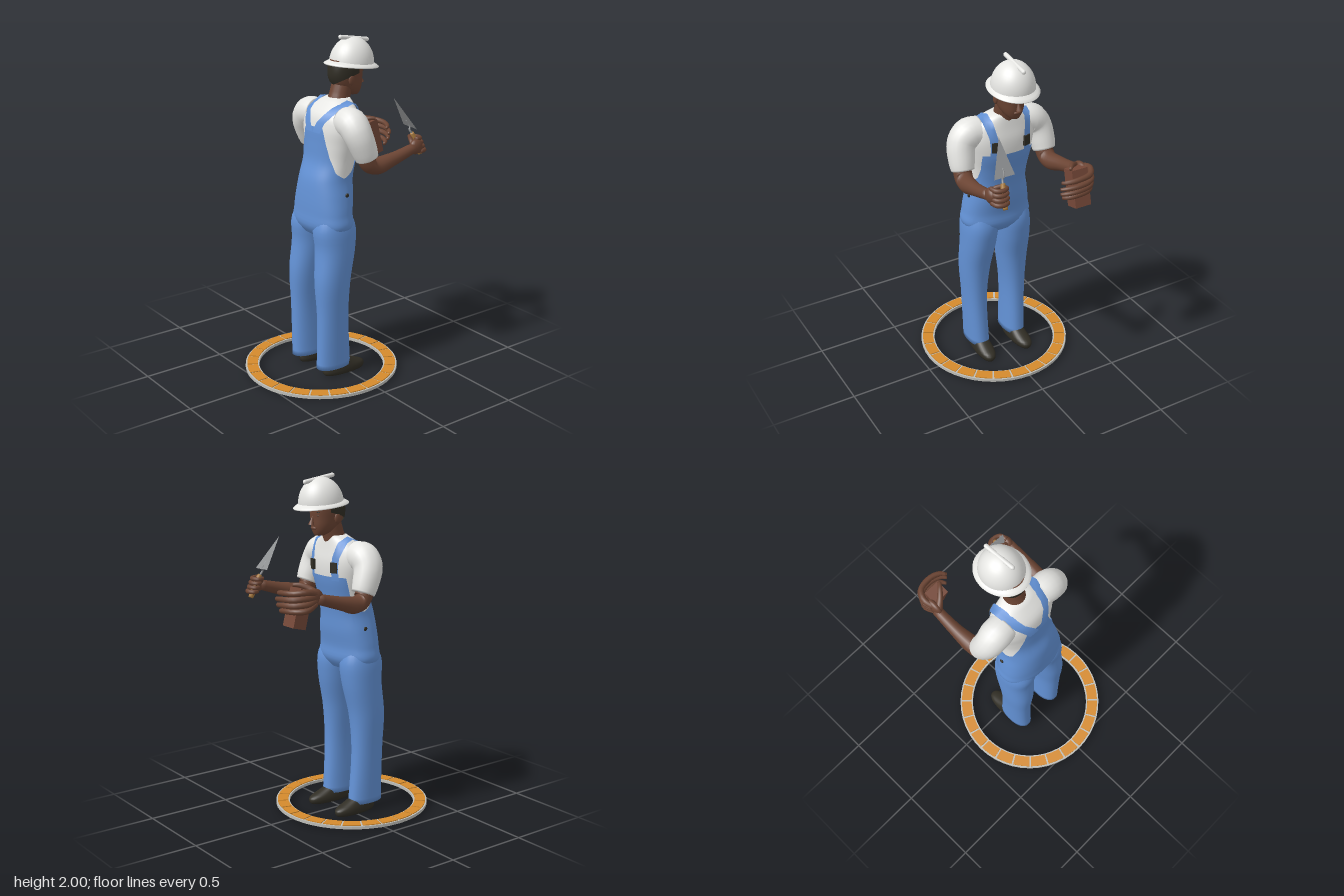
import * as THREE from 'three';

const mat = (name, color, side = THREE.FrontSide) => {
  const m = new THREE.MeshStandardMaterial({ color, side });
  m.name = name;
  return m;
};
const V = (x, y, z) => new THREE.Vector3(x, y, z);

// Skin a stack of point rings; wrap closes each ring, cap closes the ends
function loft(rings, wrap = true, cap = true) {
  const n = rings[0].length, pos = [], idx = [];
  rings.forEach(r => r.forEach(p => pos.push(p.x, p.y, p.z)));
  for (let i = 0; i < rings.length - 1; i++) {
    for (let j = 0; j < (wrap ? n : n - 1); j++) {
      const a = i * n + j, b = i * n + (j + 1) % n, c = a + n, d = b + n;
      idx.push(a, c, b, b, c, d);
    }
  }
  if (wrap && cap) {
    [0, rings.length - 1].forEach((ri, end) => {
      const c = V(0, 0, 0);
      rings[ri].forEach(p => c.addScaledVector(p, 1 / n));
      const k = pos.length / 3;
      pos.push(c.x, c.y, c.z);
      for (let j = 0; j < n; j++) {
        const a = ri * n + j, b = ri * n + (j + 1) % n;
        if (end) idx.push(k, b, a); else idx.push(k, a, b);
      }
    });
  }
  const g = new THREE.BufferGeometry();
  g.setAttribute('position', new THREE.Float32BufferAttribute(pos, 3));
  g.setIndex(idx);
  g.computeVertexNormals();
  return g;
}

// Rows of [y, centreX, halfX, halfZ, centreZ] become a smooth body of rounded sections
function body(rows) {
  const f = new THREE.CubicInterpolant(rows.map(r => r[0]),
    rows.flatMap(r => [r[1], r[2], r[3], r[4] || 0]), 4, new Float32Array(4));
  const at = y => Array.from(f.evaluate(y));
  const point = (y, a, grow = 0) => {
    const [cx, hx, hz, cz] = at(y), c = Math.cos(a), s = Math.sin(a);
    return V(cx + (hx + grow) * Math.sign(c) * Math.abs(c) ** 0.88, y,
      cz + (hz + grow) * Math.sign(s) * Math.abs(s) ** 0.88);
  };
  const geometry = (n = 36, steps = 30, y0 = rows[0][0], y1 = rows.at(-1)[0]) => loft(
    Array.from({ length: steps + 1 }, (_, i) => Array.from({ length: n },
      (_, j) => point(y0 + (y1 - y0) * i / steps, j / n * Math.PI * 2))));
  return { at, point, geometry };
}

// Tapered tube along a path
function limb(points, radii, n = 14, steps = 18) {
  const curve = new THREE.CatmullRomCurve3(points.map(p => V(...p)));
  const { normals, binormals } = curve.computeFrenetFrames(steps);
  return loft(Array.from({ length: steps + 1 }, (_, i) => {
    const t = i / steps, p = curve.getPoint(t), u = t * (radii.length - 1);
    const k = Math.min(Math.floor(u), radii.length - 2);
    const r = THREE.MathUtils.lerp(radii[k], radii[k + 1], u - k);
    normals[i] = curve.getTangent(t).cross(binormals[i]).negate().normalize();
    return Array.from({ length: n }, (_, j) => {
      const a = j / n * Math.PI * 2;
      return p.clone().addScaledVector(normals[i], r * Math.cos(a)).addScaledVector(binormals[i], -r * Math.sin(a));
    });
  }));
}

function lerpKeys(keys, x) {
  let i = 1;
  while (i < keys.length - 1 && keys[i][0] < x) i++;
  const [x0, y0] = keys[i - 1], [x1, y1] = keys[i];
  return y0 + (y1 - y0) * (x - x0) / (x1 - x0);
}

export function createModel() {
  const root = new THREE.Group();
  const DS = THREE.DoubleSide;
  const white = mat('white cloth and helmet', 0xe6e6e3, DS), blue = mat('denim blue', 0x6392d6, DS);
  const skin = mat('skin', 0x6b4433), dark = mat('shoe and hair dark', 0x302d24, DS);
  const orange = mat('paving orange', 0xd48a2c), mortar = mat('mortar grey', 0xbdbdb8);
  const clay = mat('brick clay', 0x754838), steel = mat('trowel steel', 0x909294, DS);
  const wood = mat('handle wood', 0xa87a3e);
  const add = (name, geo, m, parent = root) => {
    const mesh = new THREE.Mesh(geo, m);
    mesh.name = name;
    parent.add(mesh);
    return mesh;
  };
  const ball = (name, m, p, s, parent) => {
    const b = add(name, new THREE.SphereGeometry(1, 20, 14), m, parent);
    b.position.set(...p);
    b.scale.set(...s);
    return b;
  };

  // Paved ring: mortar bed with 24 curved bricks
  const sector = (r0, r1, a0, a1, depth) => {
    const s = new THREE.Shape();
    s.absarc(0, 0, r1, a0, a1, false);
    s.absarc(0, 0, r0, a1, a0, true);
    return new THREE.ExtrudeGeometry(s, { depth, bevelEnabled: false, curveSegments: 4 }).rotateX(-Math.PI / 2);
  };
  const ring = new THREE.Group();
  ring.name = 'pavedRing';
  ring.position.set(-0.088, 0.012, 0);
  root.add(ring);
  const bed = [[0.375, 0], [0.457, 0], [0.457, 0.017], [0.375, 0.017], [0.375, 0]];
  add('mortarBed', new THREE.LatheGeometry(bed.map(p => new THREE.Vector2(...p)), 48).toNonIndexed(), mortar, ring)
    .geometry.computeVertexNormals();
  for (let i = 0; i < 24; i++) {
    const a = i * Math.PI / 12;
    add('pavingBrick', sector(0.383, 0.447, a + 0.013, a + Math.PI / 12 - 0.013, 0.022), orange, ring);
  }

  // Torso: shirt with the overalls as an outer shell
  const torso = body([[0.87, -0.07, 0.09, 0.15], [0.92, -0.07, 0.125, 0.204], [1.0, -0.07, 0.126, 0.2],
    [1.1, -0.06, 0.131, 0.184], [1.2, -0.05, 0.127, 0.165], [1.3, -0.025, 0.119, 0.168], [1.4, -0.01, 0.126, 0.185],
    [1.5, -0.005, 0.125, 0.2], [1.57, 0, 0.108, 0.182], [1.62, 0.02, 0.08, 0.125], [1.65, 0.035, 0.06, 0.072]]);
  add('shirt', torso.geometry(48, 30, 1.1), white);
  const edge = [[0, 1.42], [0.95, 1.42], [1.02, 1.33], [1.2, 1.25], [1.55, 1.215], [2.0, 1.25], [2.4, 1.33],
    [2.65, 1.42], [2.8, 1.5], [3.15, 1.5]];
  add('overallsBody', loft(Array.from({ length: 29 }, (_, i) => Array.from({ length: 96 }, (_, j) => {
    const a = j / 96 * Math.PI * 2, top = lerpKeys(edge, Math.min(a, Math.PI * 2 - a));
    return torso.point(0.87 + (top - 0.87) * i / 28, a, 0.006);
  })), true, false), blue);

  // Straps hug the torso: [y, front or back, inner z, outer z]
  const strapRows = [[1.4, 1, 0.08, 0.125], [1.47, 1, 0.08, 0.125], [1.53, 1, 0.085, 0.13], [1.58, 1, 0.095, 0.142],
    [1.615, 1, 0.1, 0.15], [1.645, 0, 0.1, 0.152], [1.61, -1, 0.085, 0.14], [1.58, -1, 0.07, 0.125],
    [1.53, -1, 0.03, 0.09], [1.47, -1, 0, 0.065]];
  for (const side of [1, -1]) {
    add('shoulderStrap', loft(strapRows.map(([y, s, zi, zo]) => [0, 0.5, 1].map(t => {
      const z = zi + (zo - zi) * t, [cx, hx, hz] = torso.at(Math.min(y, 1.63));
      const x = cx + s * (0.012 + hx * Math.max(0.12, 1 - (z / hz) ** 2.27) ** 0.44);
      return V(x, y - 0.012 * t * (1 - Math.abs(s)), z * side);
    })), false), blue);
    const buckle = add('strapBuckle', new THREE.BoxGeometry(0.014, 0.06, 0.042), dark);
    buckle.position.set(0.118, 1.475, 0.1 * side);
    buckle.rotation.y = -0.3 * side;
    ball('sideButton', dark, [-0.04, 1.12, 0.189 * side], [0.012, 0.012, 0.006]);

    // Trouser legs and shoes
    const leg = body([[0.055, -0.09, 0.112, 0.064, 0.125], [0.12, -0.092, 0.108, 0.064, 0.127],
      [0.4, -0.1, 0.1, 0.069, 0.132], [0.6, -0.098, 0.11, 0.086, 0.127], [0.8, -0.07, 0.121, 0.1, 0.114],
      [0.92, -0.07, 0.128, 0.103, 0.106], [1.0, -0.07, 0.1, 0.09, 0.1]].map(r => [...r.slice(0, 4), r[4] * side]));
    add('trouserLeg', leg.geometry(30, 30), blue);
    const shoe = body([[0, -0.015, 0.135, 0.046], [0.015, -0.015, 0.143, 0.054], [0.04, -0.018, 0.137, 0.054],
      [0.06, -0.04, 0.112, 0.05], [0.085, -0.065, 0.08, 0.045], [0.12, -0.09, 0.055, 0.04]]);
    const s = add('shoe', shoe.geometry(30, 14), dark);
    s.position.z = 0.126 * side;
    s.rotation.y = -0.04 * side;

    // Sleeves and arms
    add('sleeve', limb([[-0.01, 1.535, 0.13 * side], [-0.015, 1.53, 0.2 * side], [-0.01, 1.48, 0.245 * side],
      [0.025, 1.385, 0.263 * side], [0.04, 1.345, 0.265 * side]], [0.085, 0.09, 0.083, 0.073, 0.066], 20), white);
    add('arm', limb([[0.01, 1.42, 0.26 * side], [0.045, 1.32, 0.268 * side], [0.09, 1.29, 0.272 * side],
      [0.2, 1.31, 0.282 * side], [0.37, 1.355, 0.285 * side]], [0.05, 0.052, 0.053, 0.049, 0.037, 0.029], 18, 24), skin);
  }

  // Neck, head and face
  add('neck', limb([[0.025, 1.58, 0], [0.05, 1.66, 0], [0.075, 1.74, 0]], [0.068, 0.061, 0.06], 20), skin);
  const head = body([[1.652, 0.145, 0.028, 0.026], [1.67, 0.128, 0.052, 0.046], [1.7, 0.108, 0.08, 0.063],
    [1.75, 0.093, 0.098, 0.074], [1.8, 0.092, 0.102, 0.079], [1.86, 0.095, 0.095, 0.076]]);
  add('head', head.geometry(36, 18), skin);
  add('hair', loft(Array.from({ length: 9 }, (_, i) => Array.from({ length: 31 }, (_, j) => {
    const a = 1.3 + (Math.PI * 2 - 2.6) * j / 30, low = 1.72 + 0.065 * Math.abs(j - 15) / 15;
    return head.point(low + (1.85 - low) * i / 8, a, 0.006);
  })), false), dark);
  const nose = add('nose', new THREE.ConeGeometry(0.018, 0.055, 12), skin);
  nose.position.set(0.196, 1.74, 0);
  nose.rotation.z = 0.2;
  ball('lips', skin, [0.184, 1.695, 0], [0.012, 0.009, 0.024]);
  for (const side of [1, -1]) {
    ball('ear', skin, [0.075, 1.75, 0.077 * side], [0.02, 0.03, 0.01]);
    ball('eye', dark, [0.179, 1.766, 0.03 * side], [0.006, 0.005, 0.012]);
    ball('eyebrow', dark, [0.181, 1.786, 0.033 * side], [0.006, 0.004, 0.018]);
  }

  // Hard hat: dome, brim and ridge
  const hat = new THREE.Group();
  hat.name = 'hardHat';
  hat.position.set(0.132, 1.822, 0);
  hat.rotation.z = -0.11;
  root.add(hat);
  const domePts = Array.from({ length: 15 }, (_, i) => {
    const a = i / 14 * Math.PI / 2;
    return new THREE.Vector2(Math.max(Math.cos(a), 0) * 0.133, 0.158 * Math.sin(a) ** 0.95);
  });
  add('dome', new THREE.LatheGeometry(domePts, 40), white, hat).scale.z = 0.92;
  const brim = [[0.125, 0.012], [0.15, 0.001], [0.165, -0.006], [0.167, 0], [0.152, 0.01], [0.125, 0.024]];
  add('brim', new THREE.LatheGeometry(brim.map(p => new THREE.Vector2(...p)), 40), white, hat).scale.z = 0.85;
  const ridge = add('ridge', new THREE.CapsuleGeometry(0.013, 0.19, 6, 12), white);
  ridge.position.set(0.148, 1.969, 0);
  ridge.rotation.z = Math.PI / 2 - 0.16;

  // Trowel: handle, bent shank and flat triangular blade
  const trowel = new THREE.Group();
  trowel.name = 'trowel';
  root.add(trowel);
  add('handle', limb([[0.405, 1.425, 0.22], [0.43, 1.365, 0.227], [0.46, 1.295, 0.235]],
    [0.012, 0.017, 0.015, 0.018, 0.014]), wood, trowel);
  add('shank', limb([[0.406, 1.42, 0.22], [0.392, 1.445, 0.214], [0.398, 1.46, 0.208], [0.375, 1.5, 0.203]],
    [0.006, 0.006, 0.005, 0.004], 8), steel, trowel);
  const blade = new THREE.BufferGeometry().setFromPoints([V(0.295, 1.64, 0.182), V(0.405, 1.46, 0.146), V(0.4, 1.455, 0.27)]);
  blade.computeVertexNormals();
  add('blade', blade, steel, trowel);

  // Hand gripping the trowel
  ball('trowelPalm', skin, [0.385, 1.358, 0.283], [0.045, 0.045, 0.028]);
  for (let i = 0; i < 4; i++) {
    const x = 0.413 + i * 0.009, y = 1.4 - i * 0.024, z = 0.223 + i * 0.003;
    add('trowelFinger', limb([[x - 0.03, y, z + 0.06], [x + 0.012, y, z + 0.047], [x + 0.025, y, z + 0.01],
      [x + 0.006, y, z - 0.022], [x - 0.016, y, z - 0.012]], [0.014, 0.013, 0.012, 0.01], 10), skin);
  }
  add('trowelThumb', limb([[0.37, 1.365, 0.28], [0.375, 1.39, 0.25], [0.398, 1.405, 0.205]], [0.018, 0.014, 0.01], 10), skin);

  // Held brick with the other hand wrapped around it
  const brick = add('heldBrick', new THREE.BoxGeometry(0.082, 0.215, 0.1), clay);
  brick.position.set(0.455, 1.305, -0.225);
  brick.rotation.z = 0.25;
  ball('brickPalm', skin, [0.395, 1.37, -0.283], [0.062, 0.045, 0.026]);
  for (let i = 0; i < 4; i++) {
    const y = 1.395 - i * 0.033, d = [0.008, 0, 0.004, 0.016][i];
    add('brickFinger', limb([[0.385, 1.385 - i * 0.018, -0.288], [0.45, y + 0.006, -0.302], [0.518 - d, y, -0.265],
      [0.533 - d, y - 0.005, -0.18], [0.515 - d, y - 0.014, -0.115 - d], [0.492 - d, y - 0.022, -0.09 - d * 1.5]],
    [0.019, 0.018, 0.016, 0.014, 0.009], 10), skin);
  }
  add('brickThumb', limb([[0.36, 1.37, -0.28], [0.385, 1.405, -0.24], [0.425, 1.425, -0.2], [0.455, 1.425, -0.175]],
    [0.024, 0.018, 0.014, 0.01], 10), skin);
  return root;
}
